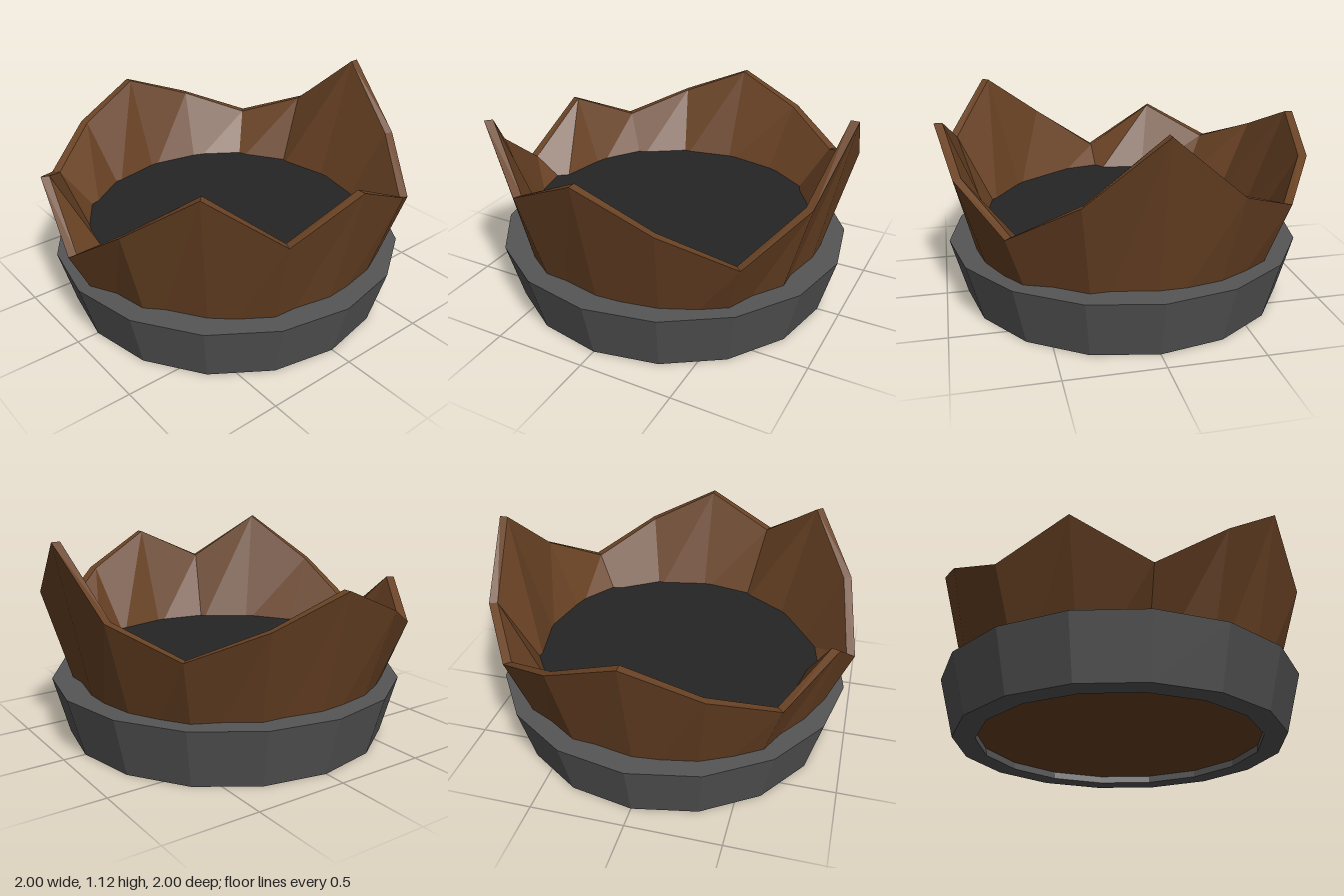
import * as THREE from 'three';

const SIDES = 16;

// Rim height of each stave edge, from the front (+z) turning towards +x
const RIM = [0.53, 0.8, 1.06, 0.8, 0.98, 0.79, 0.59, 0.8, 1.12, 0.79, 0.65, 0.79, 0.94, 0.78, 0.63, 0.8];

// Faceted ring surface: profile(i) gives the [radius, y] points at edge i
function facetedShell(profile) {
  const positions = [];
  const point = (i, k) => {
    const [r, y] = profile(i % SIDES)[k];
    const a = (i / SIDES) * Math.PI * 2;
    return [r * Math.sin(a), y, r * Math.cos(a)];
  };
  const rows = profile(0).length - 1;
  for (let i = 0; i < SIDES; i++) {
    for (let k = 0; k < rows; k++) {
      const a = point(i, k), b = point(i + 1, k), c = point(i + 1, k + 1), d = point(i, k + 1);
      // Skip the empty triangles where a row closes at the centre
      if (profile(i)[k][0] > 0) positions.push(...a, ...b, ...c);
      if (profile(i)[k + 1][0] > 0) positions.push(...a, ...c, ...d);
    }
  }
  const geometry = new THREE.BufferGeometry();
  geometry.setAttribute('position', new THREE.Float32BufferAttribute(positions, 3));
  geometry.computeVertexNormals();
  return geometry;
}

export function createModel() {
  const wood = new THREE.MeshStandardMaterial({ color: 0x694224 });
  wood.name = 'brown wood';
  const iron = new THREE.MeshStandardMaterial({ color: 0x555555 });
  iron.name = 'grey iron';
  const dark = new THREE.MeshStandardMaterial({ color: 0x252525 });
  dark.name = 'dark filling';

  const model = new THREE.Group();
  model.name = 'brokenBarrel';
  const add = (name, geometry, material) => {
    const mesh = new THREE.Mesh(geometry, material);
    mesh.name = name;
    model.add(mesh);
    return mesh;
  };

  // Flared staves with a splintered rim, closed by a base below and a floor inside
  add('staves', facetedShell((i) => [
    [0, 0.04], [0.77, 0.04], [1, RIM[i]], [0.955, RIM[i]], [0.74, 0.38], [0, 0.38],
  ]), wood);

  // Iron hoop around the foot
  add('hoop', facetedShell(() => [
    [0.76, 0], [0.88, 0], [0.965, 0.315], [0.8, 0.315], [0.76, 0],
  ]), iron);

  // Flat surface of the contents, its edge buried in the staves
  const filling = add('filling', new THREE.CircleGeometry(0.82, SIDES).rotateX(-Math.PI / 2), dark);
  filling.position.y = 0.43;

  return model;
}
